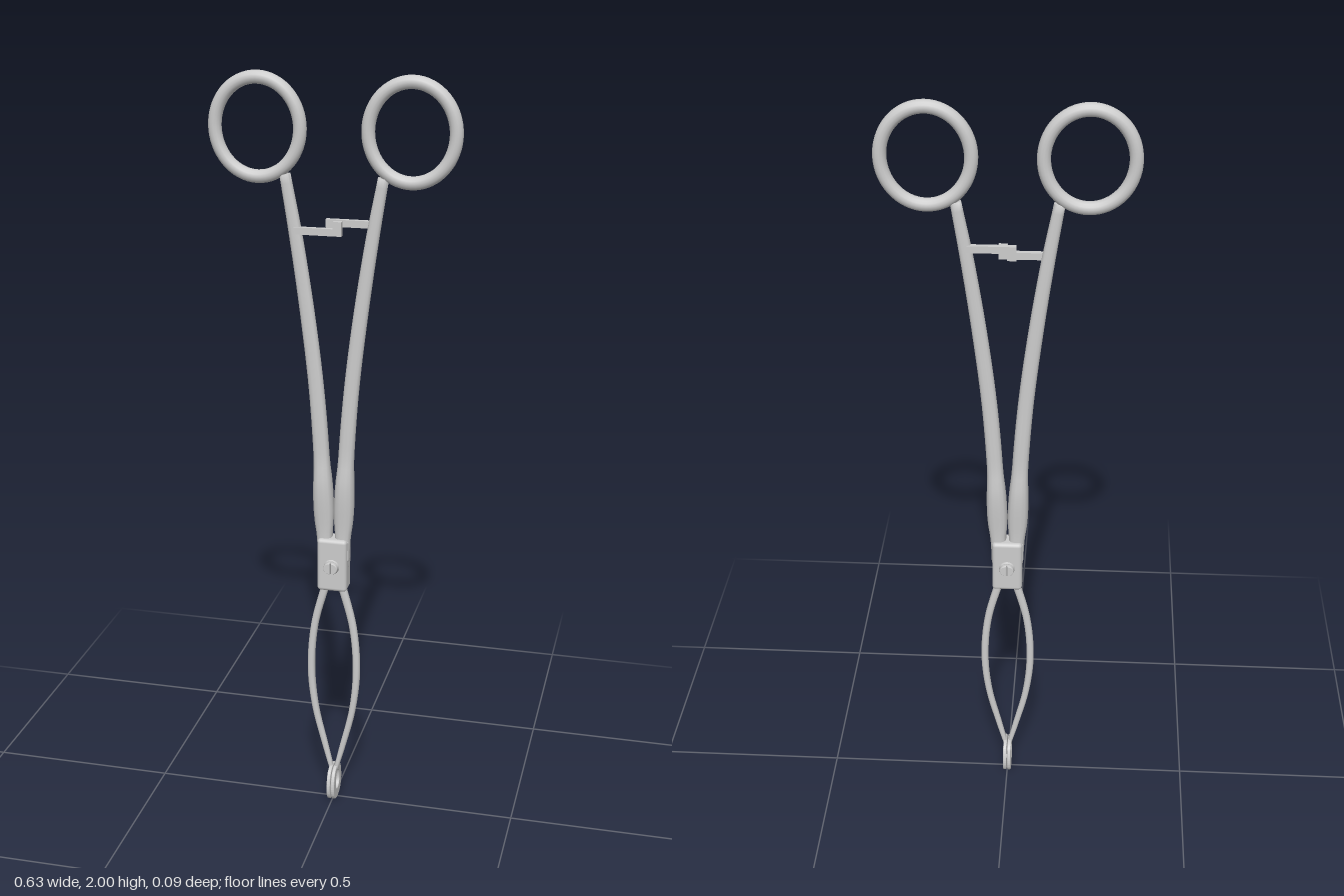
import * as THREE from 'three';
import { RoundedBoxGeometry } from 'three/addons/geometries/RoundedBoxGeometry.js';

const metal = new THREE.MeshStandardMaterial({ color: 0xcccccc });

function add(parent, name, geometry, x = 0, y = 0, z = 0) {
  const mesh = new THREE.Mesh(geometry, metal);
  mesh.name = name;
  mesh.position.set(x, y, z);
  parent.add(mesh);
  return mesh;
}

// Tapered bar: stations [x, y, halfWidth, halfDepth] listed upwards, joined by smooth oval sections
function sweptBar(stations, side, steps = 40, sides = 14) {
  const path = new THREE.CatmullRomCurve3(stations.map(s => new THREE.Vector3(s[0] * side, s[1], 0)));
  const size = new THREE.CatmullRomCurve3(stations.map(s => new THREE.Vector3(s[2], s[3], 0)));
  const pos = [], idx = [];
  for (let i = 0; i <= steps; i++) {
    const t = i / steps, p = path.getPoint(t), s = size.getPoint(t), d = path.getTangent(t);
    for (let j = 0; j < sides; j++) {
      const a = (j / sides) * Math.PI * 2;
      const u = Math.sign(Math.cos(a)) * Math.abs(Math.cos(a)) ** 0.8 * s.x;
      const w = Math.sign(Math.sin(a)) * Math.abs(Math.sin(a)) ** 0.8 * s.y;
      pos.push(p.x + d.y * u, p.y - d.x * u, w);
      if (i < steps) {
        const k = (j + 1) % sides, a0 = i * sides + j, b0 = i * sides + k;
        idx.push(a0, a0 + sides, b0, b0, a0 + sides, b0 + sides);
      }
    }
  }
  // End caps
  for (let j = 1; j < sides - 1; j++) {
    const e = steps * sides;
    idx.push(0, j, j + 1, e, e + j + 1, e + j);
  }
  const g = new THREE.BufferGeometry();
  g.setAttribute('position', new THREE.Float32BufferAttribute(pos, 3));
  g.setIndex(idx);
  g.computeVertexNormals();
  return g;
}

// Oval finger ring
function fingerRing() {
  const pts = [];
  for (let i = 0; i < 24; i++) {
    const a = (i / 24) * Math.PI * 2;
    pts.push(new THREE.Vector3(Math.cos(a) * 0.108, Math.sin(a) * 0.121, 0));
  }
  return new THREE.TubeGeometry(new THREE.CatmullRomCurve3(pts, true), 64, 0.0168, 14, true);
}

// Egg-shaped gripping loop lying in the yz plane
function gripLoop() {
  const oval = (target, rx, top, bottom) => {
    target.moveTo(0, bottom);
    target.bezierCurveTo(rx * 1.25, bottom, rx * 1.25, (top + bottom) / 2, rx * 0.85, top - (top - bottom) * 0.22);
    target.bezierCurveTo(rx * 0.6, top, -rx * 0.6, top, -rx * 0.85, top - (top - bottom) * 0.22);
    target.bezierCurveTo(-rx * 1.25, (top + bottom) / 2, -rx * 1.25, bottom, 0, bottom);
    return target;
  };
  const shape = oval(new THREE.Shape(), 0.040, 0.103, 0.003);
  shape.holes.push(oval(new THREE.Path(), 0.022, 0.087, 0.026));
  const g = new THREE.ExtrudeGeometry(shape, {
    depth: 0.005, bevelEnabled: true, bevelSize: 0.003, bevelThickness: 0.0025, bevelSegments: 3, curveSegments: 14,
  });
  return g.translate(0, 0, -0.0025).rotateY(Math.PI / 2);
}

// Half of a slotted screw head, flat side along x
function screwHalf() {
  const s = new THREE.Shape();
  s.absarc(0, 0.003, 0.014, 0, Math.PI, false);
  s.closePath();
  return new THREE.ExtrudeGeometry(s, {
    depth: 0.010, bevelEnabled: true, bevelSize: 0.002, bevelThickness: 0.005, bevelSegments: 4, curveSegments: 14,
  });
}

export function createModel() {
  const model = new THREE.Group();
  model.name = 'ringForceps';

  const shank = [
    [0.020, 0.70, 0.020, 0.018], [0.025, 0.80, 0.021, 0.018], [0.032, 1.00, 0.021, 0.018],
    [0.046, 1.20, 0.020, 0.015], [0.069, 1.40, 0.019, 0.0135], [0.098, 1.60, 0.017, 0.013],
    [0.124, 1.75, 0.014, 0.012],
  ];
  const jaw = [
    [0.005, 0.085, 0.006, 0.009], [0.024, 0.16, 0.008, 0.008], [0.052, 0.28, 0.009, 0.010],
    [0.063, 0.40, 0.010, 0.011], [0.053, 0.53, 0.010, 0.010], [0.020, 0.66, 0.011, 0.010],
  ];

  for (const side of [1, -1]) {
    const half = new THREE.Group();
    half.name = side > 0 ? 'leftHalf' : 'rightHalf';
    model.add(half);
    add(half, 'shank', sweptBar(shank, side));
    add(half, 'fingerRing', fingerRing(), side * 0.193, 1.862, 0);
    add(half, 'jaw', sweptBar(jaw, side));
    add(half, 'gripLoop', gripLoop(), side * 0.006, 0, 0);

    // Ratchet arm with a raised catch; the two arms pass each other in depth
    const y = side > 0 ? 1.633 : 1.612, z = side > 0 ? -0.007 : 0.008;
    add(half, 'ratchetArm', new THREE.BoxGeometry(0.122, 0.018, 0.013), side * 0.039, y, z);
    add(half, 'ratchetCatch', new THREE.BoxGeometry(0.022, 0.034, 0.013), side * -0.011, 1.6225, z);
  }

  // Box joint with slimmer collars
  add(model, 'boxJoint', new RoundedBoxGeometry(0.08, 0.148, 0.058, 4, 0.010), 0, 0.718, 0);
  add(model, 'jointCollar', new RoundedBoxGeometry(0.086, 0.07, 0.040, 3, 0.012), 0, 0.757, 0);

  // Slotted pivot screw on both faces
  for (const face of [0, Math.PI]) {
    const screw = new THREE.Group();
    screw.name = face ? 'backScrew' : 'frontScrew';
    screw.position.y = 0.716;
    screw.rotation.y = face;
    model.add(screw);
    const base = add(screw, 'screwSeat', new THREE.CylinderGeometry(0.019, 0.022, 0.008, 24), 0, 0, 0.030);
    base.rotation.x = Math.PI / 2;
    for (const turn of [-1, 1]) {
      const head = add(screw, 'screwHead', screwHalf(), 0, 0, 0.029);
      head.rotation.z = turn * Math.PI / 2;
    }
  }
  return model;
}
